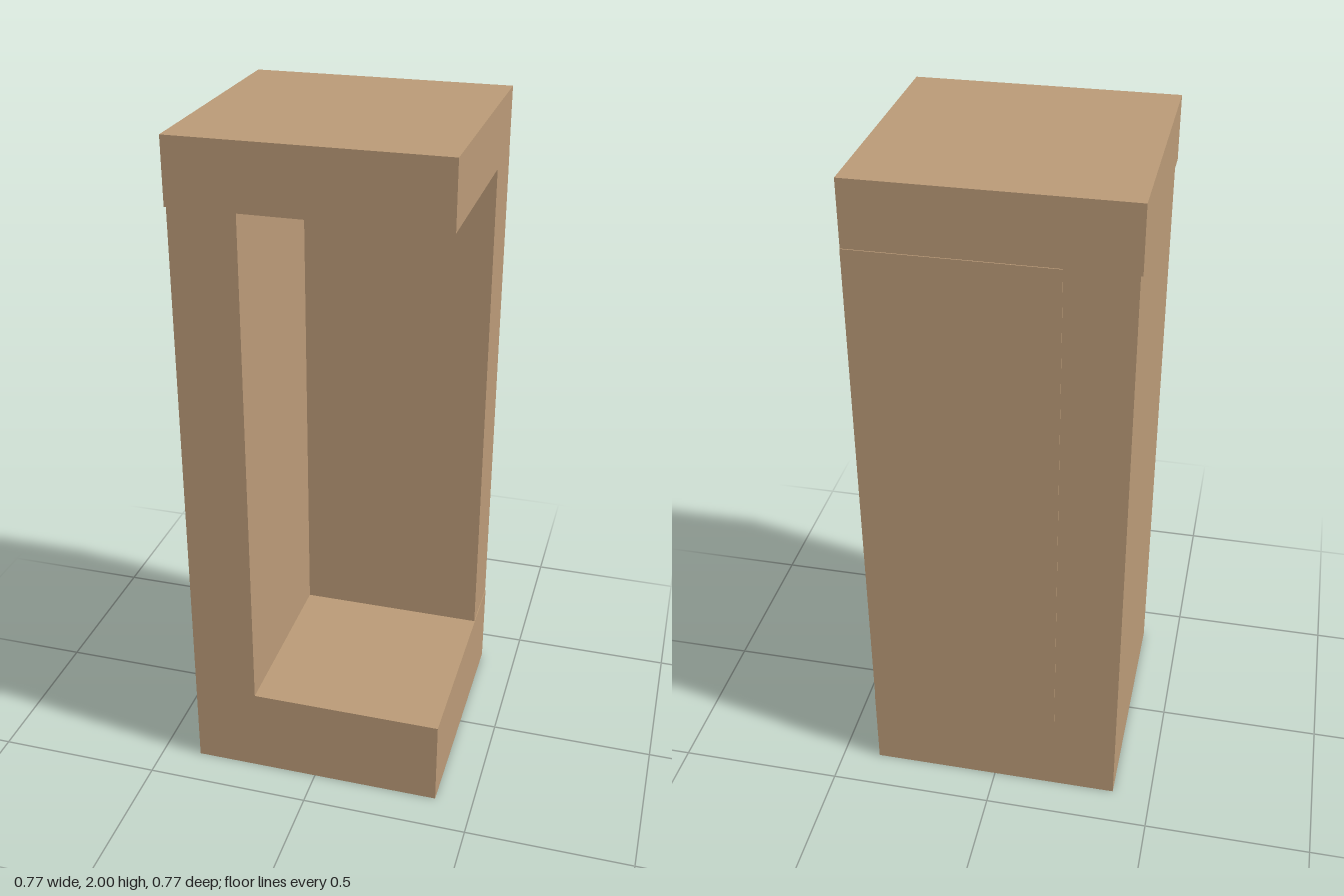
import * as THREE from 'three';

export function createModel() {
  const model = new THREE.Group();
  const tan = new THREE.MeshStandardMaterial({ color: 0xba9a77 });
  tan.name = 'tan board';

  // Box spanning two opposite corners
  const block = (name, [x0, y0, z0], [x1, y1, z1]) => {
    const mesh = new THREE.Mesh(new THREE.BoxGeometry(x1 - x0, y1 - y0, z1 - z0), tan);
    mesh.name = name;
    mesh.position.set((x0 + x1) / 2, (y0 + y1) / 2, (z0 + z1) / 2);
    model.add(mesh);
  };

  const floorY = 0.27, ceilingY = 1.81, inner = -0.19;

  // Solid slabs at the bottom and top
  block('base', [-0.382, 0, -0.382], [0.385, floorY, 0.383]);
  block('top', [-0.388, ceilingY, -0.382], [0.383, 2, 0.383]);

  // Two walls meeting in an L, leaving the front and one side open
  block('sideWall', [-0.382, floorY, -0.382], [inner, ceilingY, 0.383]);
  block('backWall', [inner, floorY, -0.385], [0.383, ceilingY, inner]);

  return model;
}
